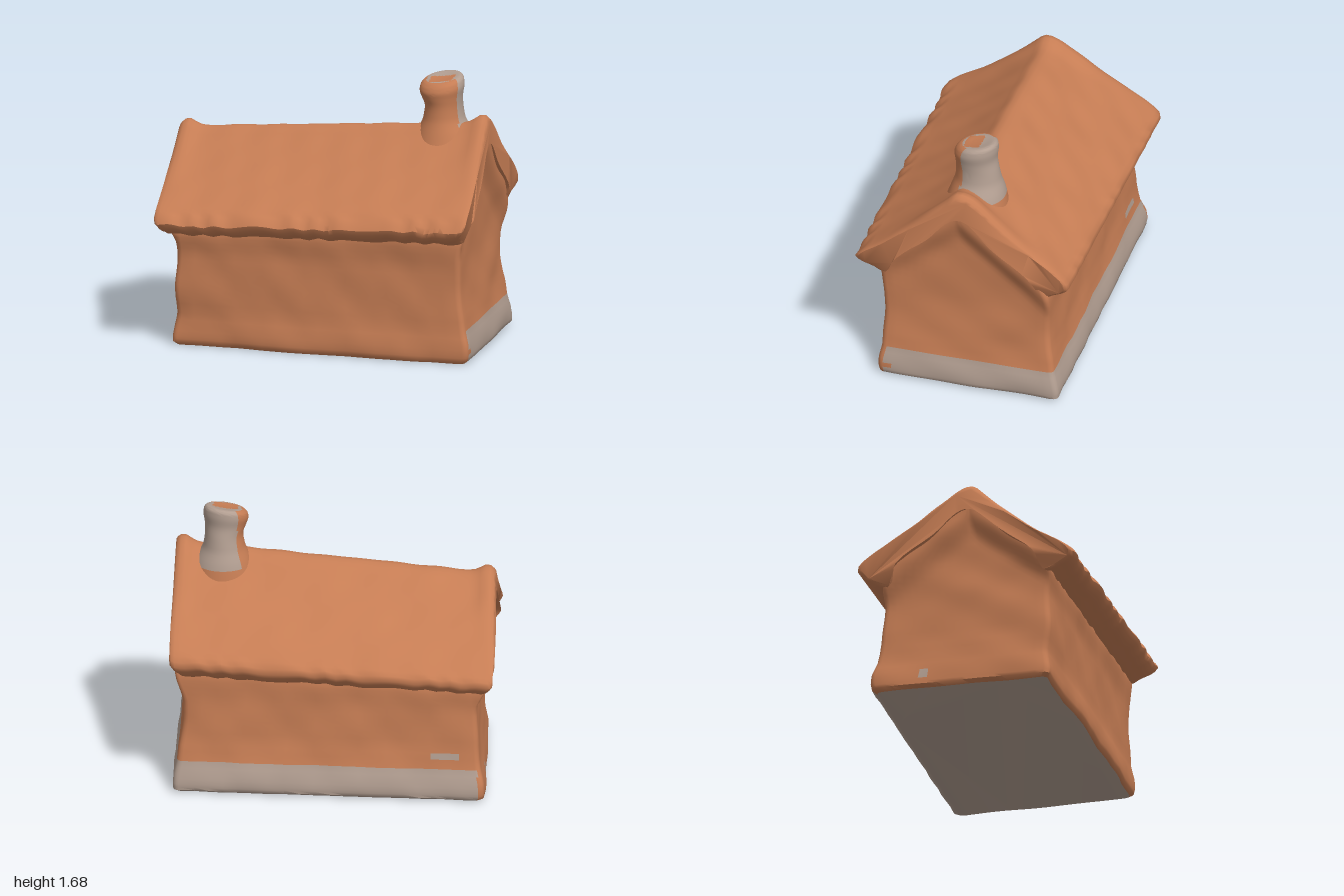
import * as THREE from 'three';
import { toCreasedNormals } from 'three/addons/utils/BufferGeometryUtils.js';

const clay = new THREE.MeshStandardMaterial({ color: 0xc67d54 });
clay.name = 'terracotta';
const stone = new THREE.MeshStandardMaterial({ color: 0xb29e91 });
stone.name = 'greyClay';

const { smoothstep, clamp, degToRad } = THREE.MathUtils;

// Gentle hand-modelled unevenness
const wobble = (x, y, z) =>
  Math.sin(9 * x + 5 * y) * Math.sin(11 * y + 7 * z + 1) +
  0.6 * Math.sin(23 * x + 13 * z) * Math.sin(19 * y + 2 * x);

// Skin closed rings of points, cap both ends, and colour patches by their centre
function loft(name, rings, isStone, axes) {
  const n = rings[0].length;
  const pts = rings.flat();
  const faces = [];
  const addFaces = (corners, tris) => {
    const mid = new THREE.Vector3();
    corners.forEach(i => mid.addScaledVector(pts[i], 1 / corners.length));
    tris.forEach(tri => faces.push({ tri, group: isStone(mid) ? 1 : 0 }));
  };
  for (let i = 0; i < rings.length - 1; i++) {
    for (let j = 0; j < n; j++) {
      const a = i * n + j, b = i * n + (j + 1) % n;
      addFaces([a, b, b + n, a + n], [[a, b, b + n], [a, b + n, a + n]]);
    }
  }
  const cap = (ring, start, flip) => {
    const outline = ring.map(p => new THREE.Vector2(p[axes[0]], p[axes[1]]));
    const ccw = THREE.ShapeUtils.area(outline) > 0;
    for (const t of THREE.ShapeUtils.triangulateShape(outline.slice(), [])) {
      const same = THREE.ShapeUtils.area(t.map(i => outline[i])) > 0 === ccw;
      const [a, b, c] = t.map(i => i + start);
      addFaces([a, b, c], [same !== flip ? [a, b, c] : [a, c, b]]);
    }
  };
  cap(rings[0], 0, true);
  cap(rings[rings.length - 1], (rings.length - 1) * n, false);

  // Turn the skin outwards
  const cross = new THREE.Vector3();
  const volume = faces.reduce((s, { tri: [a, b, c] }) =>
    s + pts[a].dot(cross.crossVectors(pts[b], pts[c])), 0);
  const lists = [[], []];
  for (const { tri: [a, b, c], group } of faces) {
    lists[group].push(...(volume < 0 ? [a, c, b] : [a, b, c]));
  }
  const geo = new THREE.BufferGeometry().setFromPoints(pts);
  geo.setIndex(lists.flat());
  geo.addGroup(0, lists[0].length, 0);
  geo.addGroup(lists[0].length, lists[1].length, 1);
  const mesh = new THREE.Mesh(toCreasedNormals(geo, 0.9), [clay, stone]);
  mesh.name = name;
  return mesh;
}

// Interpolate a table of rows whose first entry is the position
function sample(rows, t) {
  let i = 0;
  while (i < rows.length - 2 && t > rows[i + 1][0]) i++;
  const k = (t - rows[i][0]) / (rows[i + 1][0] - rows[i][0]);
  return rows[i].map((v, c) => v + (rows[i + 1][c] - v) * k);
}

// Rounded rectangle in plan
function roundRect(x0, x1, z0, z1, r) {
  const out = [];
  const corners = [[x1 - r, z0 + r, -90], [x1 - r, z1 - r, 0], [x0 + r, z1 - r, 90], [x0 + r, z0 + r, 180]];
  corners.forEach(([cx, cz, deg], i) => {
    for (let k = 0; k <= 4; k++) {
      const a = degToRad(deg + k * 22.5);
      out.push([cx + r * Math.cos(a), cz + r * Math.sin(a)]);
    }
    const [nx, nz, nd] = corners[(i + 1) % 4];
    const a = degToRad(nd), p = out[out.length - 1];
    const q = [nx + r * Math.cos(a), nz + r * Math.sin(a)];
    for (let k = 1; k < 20; k++) out.push([p[0] + (q[0] - p[0]) * k / 20, p[1] + (q[1] - p[1]) * k / 20]);
  });
  return out;
}

// The upper storey leans: everything rises towards +x
const lift = (x, y) => x * (0.04 + 0.075 * Math.max(0, y - 0.85)) * smoothstep(y, 0.5, 0.85);

function makeWalls() {
  // y, left, right, back, front
  const rows = [
    [0.01, -0.9, 0.94, -0.58, 0.50], [0.03, -0.925, 0.965, -0.61, 0.52],
    [0.07, -0.925, 0.97, -0.615, 0.525], [0.13, -0.92, 0.965, -0.605, 0.52],
    [0.21, -0.905, 0.945, -0.58, 0.505], [0.35, -0.89, 0.925, -0.555, 0.50],
    [0.6, -0.885, 0.905, -0.54, 0.495], [0.74, -0.885, 0.905, -0.545, 0.515],
    [0.88, -0.885, 0.905, -0.50, 0.47], [1.24, -0.885, 0.905, -0.05, 0.09],
  ];
  const heights = [0.01, 0.03, 0.05, 0.07, 0.1, 0.13, 0.17, 0.21];
  for (let y = 0.27; y < 1.24; y += 0.04) heights.push(y);
  const rings = heights.map(y => {
    const [, x0, x1, z0, z1] = sample(rows, y);
    const foot = 1 - smoothstep(y, 0.1, 0.4);
    return roundRect(x0, x1, z0, z1, 0.035).map(([x, z]) => {
      const w = 0.006 * wobble(x, y, z);
      // The gables curl outwards under the verge of the roof
      const under = 1.22 - 0.8 * Math.abs(z - 0.02);
      const curl = Math.abs(x) > 0.86 ? 0.06 * smoothstep(y, under - 0.2, under) : 0;
      // The foot of the front left corner is drawn in
      const pull = foot * smoothstep(-x, 0, 0.9) * smoothstep(z, 0, 0.5);
      return new THREE.Vector3(
        x + 0.03 * z + (w + curl) * Math.sign(x) + 0.025 * pull,
        y + lift(x, y), z + w * Math.sign(z) - 0.03 * pull);
    });
  });
  // The plinth is grey on the right end, the back and underneath, with two smudges
  const isStone = p => p.y < 0.02 ||
    (p.y < 0.21 && ((p.x > 0.9 && p.z < 0.46) || (p.z < -0.52 && p.x > -0.9))) ||
    (p.z < -0.5 && Math.abs(p.y - 0.29) < 0.02 && Math.abs(p.x + 0.68) < 0.1) ||
    (p.x < -0.85 && Math.abs(p.y - 0.1) < 0.04 && Math.abs(p.z + 0.27) < 0.03);
  return loft('walls', rings, isStone, ['z', 'x']);
}

function makeRoof() {
  // Section across the ridge as z, y: over the top, then back along the underside
  const profile = [
    [0.03, 1.335], [0.1, 1.28], [0.3, 1.115], [0.52, 0.955], [0.62, 0.885], [0.665, 0.83],
    [0.635, 0.782], [0.57, 0.757], [0.49, 0.73], [0.43, 0.85], [0.22, 1.03], [0.01, 1.2], [-0.22, 1.04],
    [-0.45, 0.86], [-0.51, 0.73], [-0.585, 0.76], [-0.65, 0.8], [-0.685, 0.86], [-0.6, 0.945],
    [-0.3, 1.145], [-0.16, 1.245], [-0.04, 1.325],
  ];
  const curve = new THREE.CatmullRomCurve3(profile.map(([z, y]) => new THREE.Vector3(0, y, z)), true);
  const section = curve.getSpacedPoints(100).slice(0, 100);
  const xs = [-0.985, -0.975, -0.955];
  for (let i = 1; i < 60; i++) xs.push(-0.955 + 1.91 * i / 60);
  xs.push(0.955, 0.975, 0.985);
  const rings = xs.map(x => {
    const end = Math.abs(x);
    const s = end > 0.98 ? 0.965 : end > 0.96 ? 0.988 : 1;
    const rim = 0.045 * Math.exp(-(((end - 0.94) / 0.055) ** 2));
    return section.map(p => {
      const z = p.z * s, y = 1 + (p.y - 1) * s;
      const top = clamp((y - 1) / 0.3, 0, 1);
      // Ragged eaves, tucked in at the corners
      const eave = y < 0.9 ? 0.007 * Math.sin(31 * x + 2 * Math.sin(9 * x)) : 0;
      const tuck = 1 - 0.05 * (1 - smoothstep(p.y, 0.75, 0.86)) - 0.012 * top;
      const w = 0.005 * wobble(x, y, z) + eave;
      return new THREE.Vector3(
        x * tuck + 0.027 * z, y + lift(x, y) + rim * top + w, z + w * Math.sign(z) * 0.6);
    });
  });
  return loft('roof', rings, () => false, ['y', 'z']);
}

function makeChimney() {
  // y, centre x, centre z, radius x, radius z
  const rows = [
    [1.22, 0.69, -0.02, 0.21, 0.2], [1.34, 0.685, -0.03, 0.165, 0.168], [1.42, 0.68, -0.03, 0.127, 0.142],
    [1.5, 0.68, -0.025, 0.116, 0.132], [1.56, 0.672, -0.015, 0.126, 0.13], [1.61, 0.67, -0.015, 0.137, 0.135],
    [1.645, 0.67, -0.02, 0.132, 0.128], [1.665, 0.672, -0.025, 0.115, 0.11], [1.67, 0.672, -0.03, 0.09, 0.085],
    [1.665, 0.672, -0.03, 0.04, 0.04], [1.664, 0.672, -0.03, 0.01, 0.01],
  ];
  const centres = new THREE.CatmullRomCurve3(rows.map(([y, x, z]) => new THREE.Vector3(x, y, z)));
  const radii = new THREE.CatmullRomCurve3(rows.map(r => new THREE.Vector3(r[3], 0, r[4])));
  const rings = [];
  for (let i = 0; i <= 40; i++) {
    const c = centres.getPoint(i / 40), r = radii.getPoint(i / 40);
    const tilt = smoothstep(c.y, 1.5, 1.66);
    const ring = [];
    for (let j = 0; j < 48; j++) {
      const a = j / 48 * Math.PI * 2;
      const dx = Math.cos(a) * r.x, dz = Math.sin(a) * r.z;
      ring.push(new THREE.Vector3(c.x + dx, c.y + tilt * (0.13 * dx - 0.18 * dz), c.z + dz));
    }
    rings.push(ring);
  }
  // Grey on the side turned to the back right and in the mouth, which has a clay patch
  const isStone = p => {
    const dx = p.x - 0.672, dz = p.z + 0.03;
    if (p.y > 1.64 && Math.hypot(dx, dz) < 0.1) return Math.abs(dx) > 0.075 || Math.abs(dz - 0.03) > 0.05;
    return p.y > 1.31 && dx * 0.85 - p.z > 0.05;
  };
  return loft('chimney', rings, isStone, ['z', 'x']);
}

export function createModel() {
  const house = new THREE.Group();
  house.name = 'cottage';
  house.add(makeWalls(), makeRoof(), makeChimney());
  return house;
}
